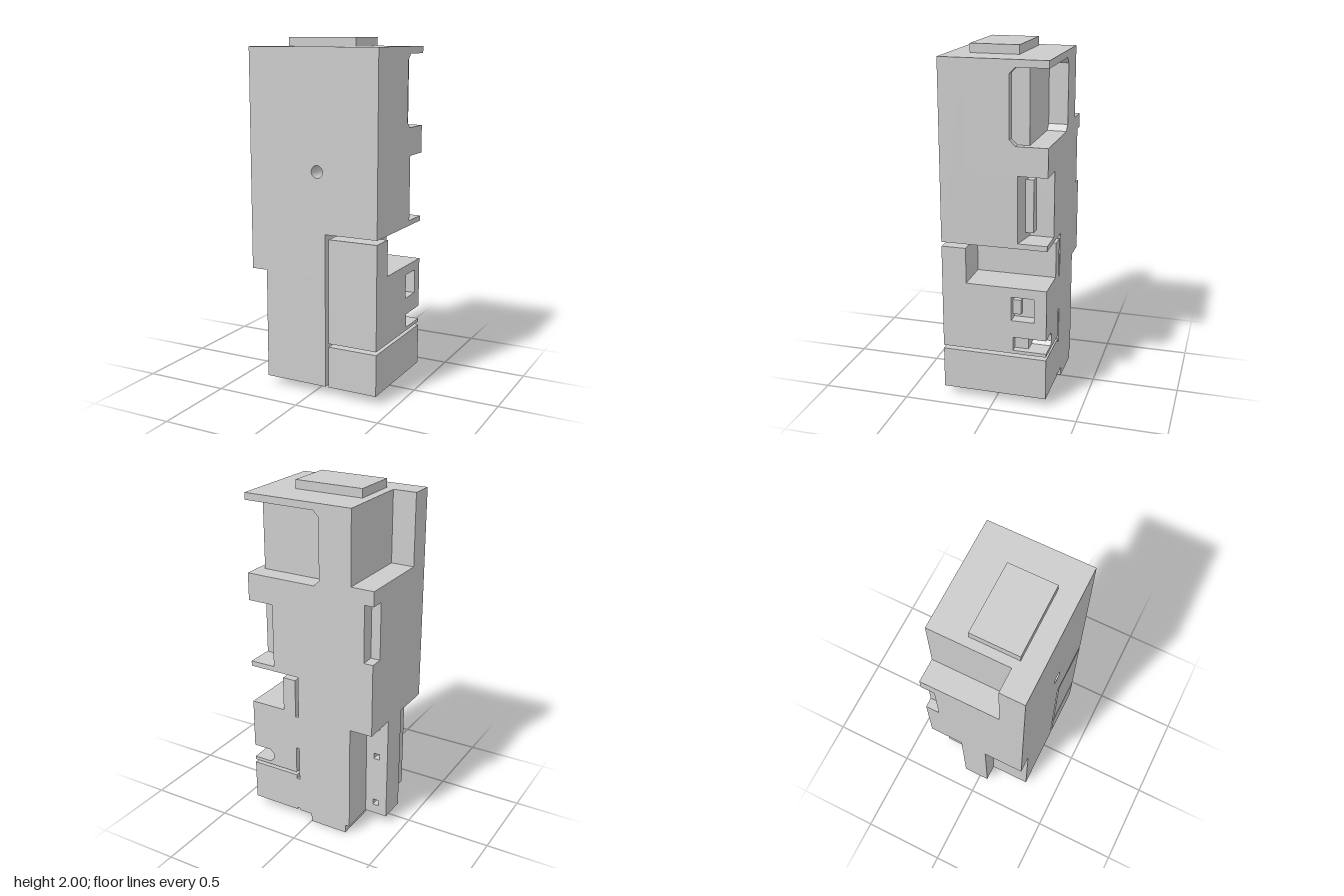
import * as THREE from 'three';

const material = new THREE.MeshStandardMaterial({ color: 0xcccccc, flatShading: true });

const toShape = (pts) => new THREE.Shape(pts.map(([a, b]) => new THREE.Vector2(a, b)));
const extrude = (shape, depth) =>
  new THREE.ExtrudeGeometry(shape, { depth, bevelEnabled: false, curveSegments: 24 });

export function createModel() {
  const root = new THREE.Group();

  const add = (parent, name, geometry) => {
    const mesh = new THREE.Mesh(geometry, material);
    mesh.name = name;
    parent.add(mesh);
    return mesh;
  };
  const group = (name) => {
    const g = new THREE.Group();
    g.name = name;
    root.add(g);
    return g;
  };
  // Box given by its limits
  const box = (parent, name, x0, x1, y0, y1, z0, z1) =>
    add(parent, name, new THREE.BoxGeometry(x1 - x0, y1 - y0, z1 - z0)
      .translate((x0 + x1) / 2, (y0 + y1) / 2, (z0 + z1) / 2));
  // Plan outline of [x, z] points raised from y0 to y1
  const layer = (parent, name, y0, y1, pts) =>
    add(parent, name, extrude(toShape(pts.map(([x, z]) => [x, -z])), y1 - y0)
      .rotateX(-Math.PI / 2).translate(0, y0, 0));
  // Triangular corner fillers at the inner end of a back pocket
  const backChamfers = (parent, x, y0, y1, z0, z1, c) => {
    for (const [y, s] of [[y0, 1], [y1, -1]]) {
      add(parent, 'pocketChamfer',
        extrude(toShape([[x, y], [x + c, y], [x, y + s * c]]), z1 - z0).translate(0, 0, z0));
    }
  };
  // The same for a pocket in the side face
  const sideChamfers = (parent, z, y0, y1, x0, x1, c) => {
    for (const [y, s] of [[y0, 1], [y1, -1]]) {
      add(parent, 'pocketChamfer',
        extrude(toShape([[-z, y], [-z + c, y], [-z, y + s * c]]), x1 - x0)
          .rotateY(Math.PI / 2).translate(x0, 0, 0));
    }
  };

  // Upper front plate with a round hole
  const upper = group('upperBody');
  const plate = toShape([[-0.395, 0.935], [0.395, 0.935], [0.395, 1.95], [-0.395, 1.95]]);
  plate.holes.push(new THREE.Path().absarc(0.03, 1.28, 0.035, 0, Math.PI * 2, true));
  add(upper, 'frontPlate', extrude(plate, 0.14)).position.z = 0.16;

  // Upper body behind the plate, one layer per change of the side pockets
  const rightEdge = {
    plain: [[0.395, 0.16], [0.395, -0.3]],
    mid: [[0.395, 0.16], [0.395, -0.135], [0.24, -0.165], [0.24, -0.3]],
    top: [[0.395, 0.16], [0.395, -0.09], [0.355, -0.09], [0.355, -0.19], [-0.065, -0.19], [-0.065, -0.3]],
  };
  const leftEdge = {
    plain: [[-0.395, -0.3], [-0.395, 0.16]],
    mid: [[-0.34, -0.3], [-0.34, -0.22], [-0.395, -0.22], [-0.395, 0.16]],
    top: [[-0.258, -0.3], [-0.258, 0.16]],
  };
  const layers = [
    [0.935, 0.965, 'plain', 'plain'],
    [0.965, 1.12, 'mid', 'plain'],
    [1.12, 1.34, 'mid', 'mid'],
    [1.34, 1.45, 'plain', 'mid'],
    [1.45, 1.5, 'plain', 'plain'],
    [1.5, 1.535, 'top', 'plain'],
    [1.535, 1.91, 'top', 'top'],
    [1.91, 1.95, 'plain', 'top'],
  ];
  for (const [y0, y1, r, l] of layers) {
    layer(upper, 'bodyLayer', y0, y1, [...rightEdge[r], ...leftEdge[l]]);
  }
  backChamfers(upper, -0.065, 1.5, 1.91, -0.3, -0.19, 0.033);
  sideChamfers(upper, -0.09, 1.5, 1.91, 0.355, 0.395, 0.033);
  box(upper, 'pocketRib', 0.24, 0.3, 1.0, 1.3, -0.2, -0.15);

  // Lower left column with its stepped side
  const column = group('lowerColumn');
  box(column, 'columnTop', -0.395, 0.08, 0.69, 0.935, -0.3, 0.3);
  layer(column, 'columnShaft', 0.05, 0.69, [
    [0.08, 0.3], [-0.3, 0.3], [-0.3, 0.06], [-0.395, 0.06],
    [-0.395, -0.05], [-0.258, -0.05], [-0.258, -0.3], [0.08, -0.3],
  ]);

  // Rail face with three square holes
  const rail = toShape([[-0.395, 0.05], [-0.258, 0.05], [-0.258, 0.69], [-0.395, 0.69]]);
  for (const y of [0.125, 0.44, 0.635]) {
    const h = 0.018;
    rail.holes.push(toShape([
      [-0.325 - h, y - h], [-0.325 - h, y + h], [-0.325 + h, y + h], [-0.325 + h, y - h],
    ]));
  }
  add(column, 'sideRail', extrude(rail, 0.05)).position.z = -0.1;

  // Middle block beside the column, with notch, window and corner slot
  const block = group('middleBlock');
  const blockPlan = (y0, y1, edge) =>
    layer(block, 'blockLayer', y0, y1, [[0.1, -0.3], [0.1, 0.3], [0.395, 0.3], ...edge]);
  const full = [[0.395, -0.3]];
  blockPlan(0.31, 0.33, full);
  blockPlan(0.33, 0.41, [[0.395, -0.11], [0.355, -0.11], [0.355, -0.19], [0.262, -0.19], [0.262, -0.3]]);
  blockPlan(0.41, 0.51, full);
  blockPlan(0.51, 0.65, [[0.395, -0.1], [0.325, -0.1], [0.325, -0.23], [0.395, -0.23], [0.395, -0.3]]);
  blockPlan(0.65, 0.705, full);
  blockPlan(0.705, 0.91, [[0.395, 0.16], [0.18, 0.16], [0.18, -0.3]]);
  backChamfers(block, 0.262, 0.33, 0.41, -0.3, -0.19, 0.022);
  box(block, 'windowRib', 0.325, 0.355, 0.535, 0.62, -0.145, -0.1);

  // Bottom block and the webs that tie both blocks to the column
  box(root, 'bottomBlock', 0.1, 0.395, 0.05, 0.29, -0.3, 0.3);
  box(root, 'upperWeb', 0.08, 0.1, 0.475, 0.68, -0.3, 0);
  box(root, 'lowerWeb', 0.08, 0.1, 0.06, 0.265, -0.3, 0);

  // Raised pads on top and underneath
  box(root, 'topPad', -0.207, 0.205, 1.95, 2, -0.093, 0.182);
  box(root, 'bottomPad', -0.232, 0, 0, 0.05, -0.3, 0.182);

  return root;
}
